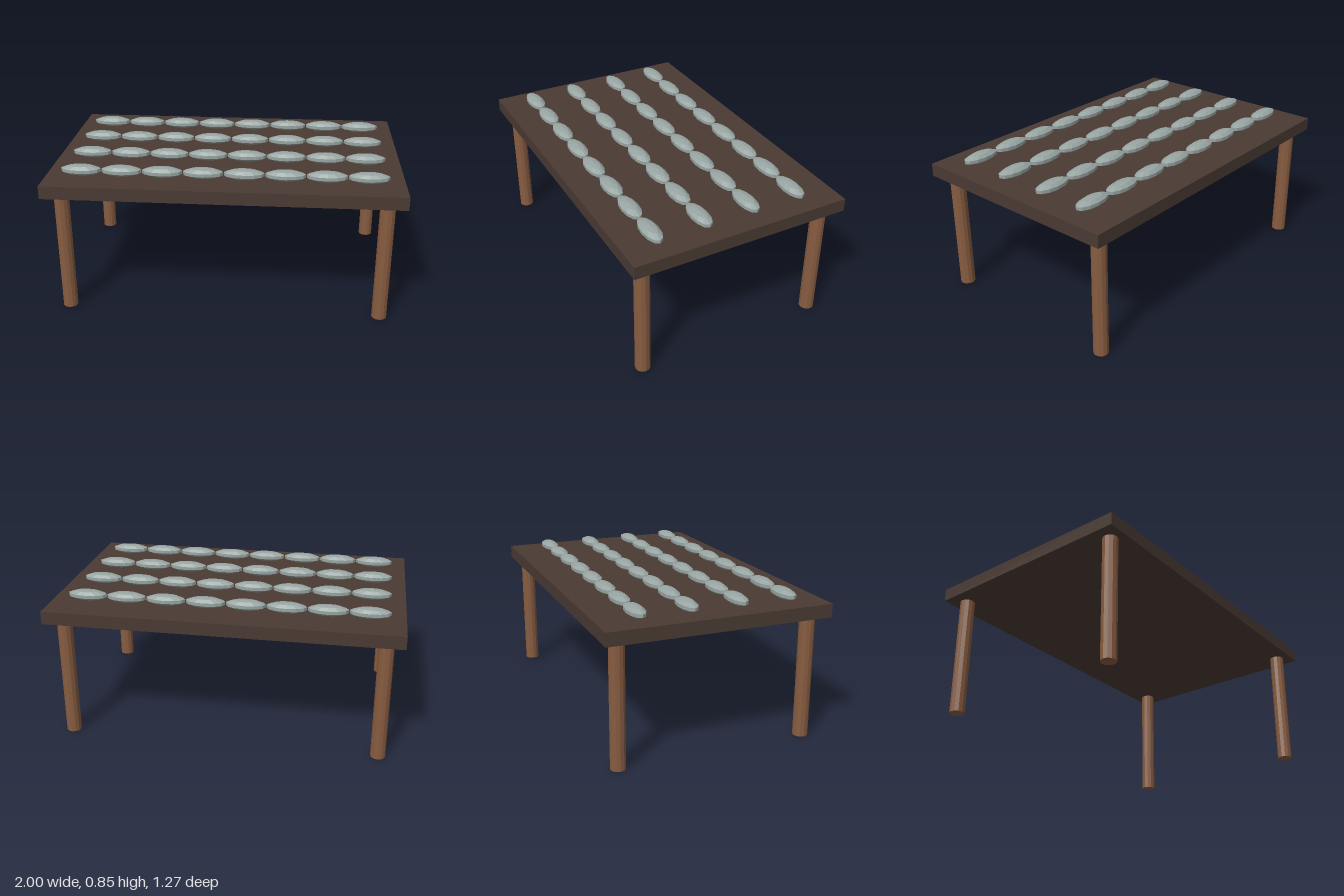
import * as THREE from 'three';

const material = (name, color, flatShading = false) => {
  const m = new THREE.MeshStandardMaterial({ color, flatShading });
  m.name = name;
  return m;
};

export function createModel() {
  const group = new THREE.Group();
  group.name = 'tableWithStones';
  const darkWood = material('darkWood', 0x4a3a33);
  const legWood = material('legWood', 0x875c40, true);
  const greyGreen = material('greyGreen', 0x98a5a2, true);

  const add = (name, geometry, mat, x, y, z) => {
    const mesh = new THREE.Mesh(geometry, mat);
    mesh.name = name;
    mesh.position.set(x, y, z);
    group.add(mesh);
  };

  // Table top slab
  add('tableTop', new THREE.BoxGeometry(2, 0.075, 1.27), darkWood, 0, 0.747, 0);

  // Four round legs
  const legGeometry = new THREE.CylinderGeometry(0.043, 0.043, 0.71, 12);
  for (const x of [-0.9, 0.9]) {
    for (const z of [-0.546, 0.546]) add('leg', legGeometry, legWood, x, 0.355, z);
  }

  // Four rows of eight flattened, faceted pieces lying on the top
  const pieceGeometry = new THREE.SphereGeometry(1, 12, 5);
  pieceGeometry.scale(0.118, 0.03, 0.05);
  for (let row = 0; row < 4; row++) {
    for (let i = 0; i < 8; i++) {
      add('piece', pieceGeometry, greyGreen, -0.804 + i * 0.229, 0.815, -0.412 + row * 0.286);
    }
  }
  return group;
}
